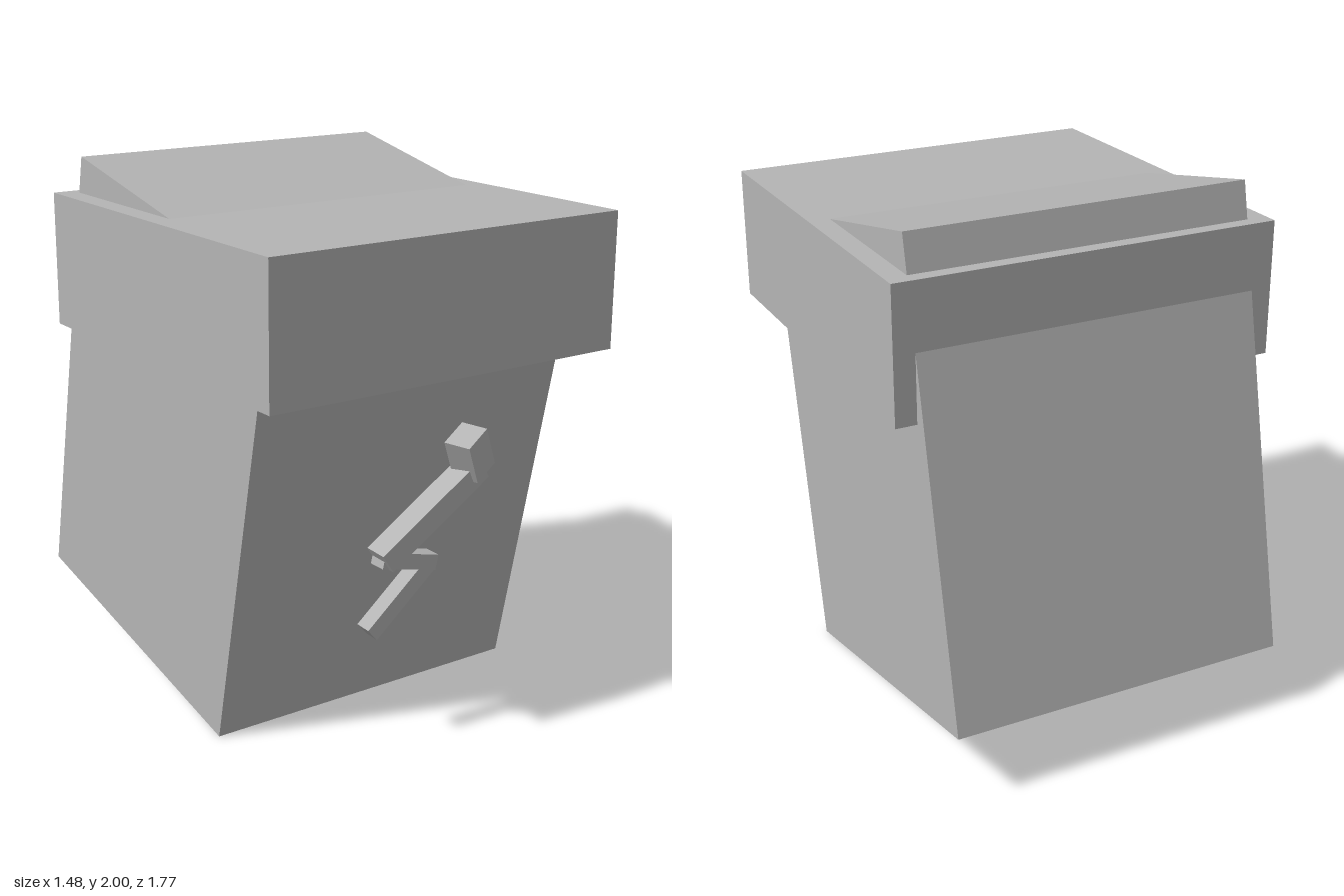
import * as THREE from 'three';

export function createModel() {
  const model = new THREE.Group();
  model.name = 'crankBox';

  const grey = new THREE.MeshStandardMaterial({ color: 0xb4b4b4 });
  grey.name = 'plain grey';

  function block(name, size, centre, parent = model) {
    const mesh = new THREE.Mesh(new THREE.BoxGeometry(...size), grey);
    mesh.name = name;
    mesh.position.set(...centre);
    parent.add(mesh);
    return mesh;
  }

  // Turns a block so its x edge follows "along" and its front faces near "facing"
  function aim(mesh, along, facing) {
    const x = new THREE.Vector3(...along).normalize();
    const z = new THREE.Vector3(...facing);
    z.addScaledVector(x, -z.dot(x)).normalize();
    const y = new THREE.Vector3().crossVectors(z, x);
    mesh.quaternion.setFromRotationMatrix(new THREE.Matrix4().makeBasis(x, y, z));
  }

  // Body leans forward, its top back edge rising through the level lid
  const body = block('body', [1.32, 1.764, 1.32], [0, 1, -0.055]);
  body.rotation.x = THREE.MathUtils.degToRad(12);
  block('lid', [1.48, 0.507, 1.48], [0, 1.608, 0.14]);

  // Zigzag crank in front of the body
  const crank = new THREE.Group();
  crank.name = 'crank';
  model.add(crank);
  const parts = [
    ['crankShaft', [0.33, 0.06, 0.065], [-0.137, 0.556, 0.77], [0.25, 0.22, 0.01], [0, -0.04, 1]],
    ['crankLink', [0.24, 0.057, 0.07], [-0.11, 0.695, 0.78], [0.22, -0.052, 0], [0, 0, 1]],
    ['crankArm', [0.494, 0.082, 0.095], [-0.02, 0.857, 0.795], [0.41, 0.275, 0.013], [0, -0.04, 1]],
    ['crankKnob', [0.117, 0.158, 0.105], [0.147, 1.049, 0.811], [0.1, 0.048, -0.028], [0.026, -0.005, 0.1]],
  ];
  for (const [name, size, centre, along, facing] of parts) {
    aim(block(name, size, centre, crank), along, facing);
  }

  return model;
}
